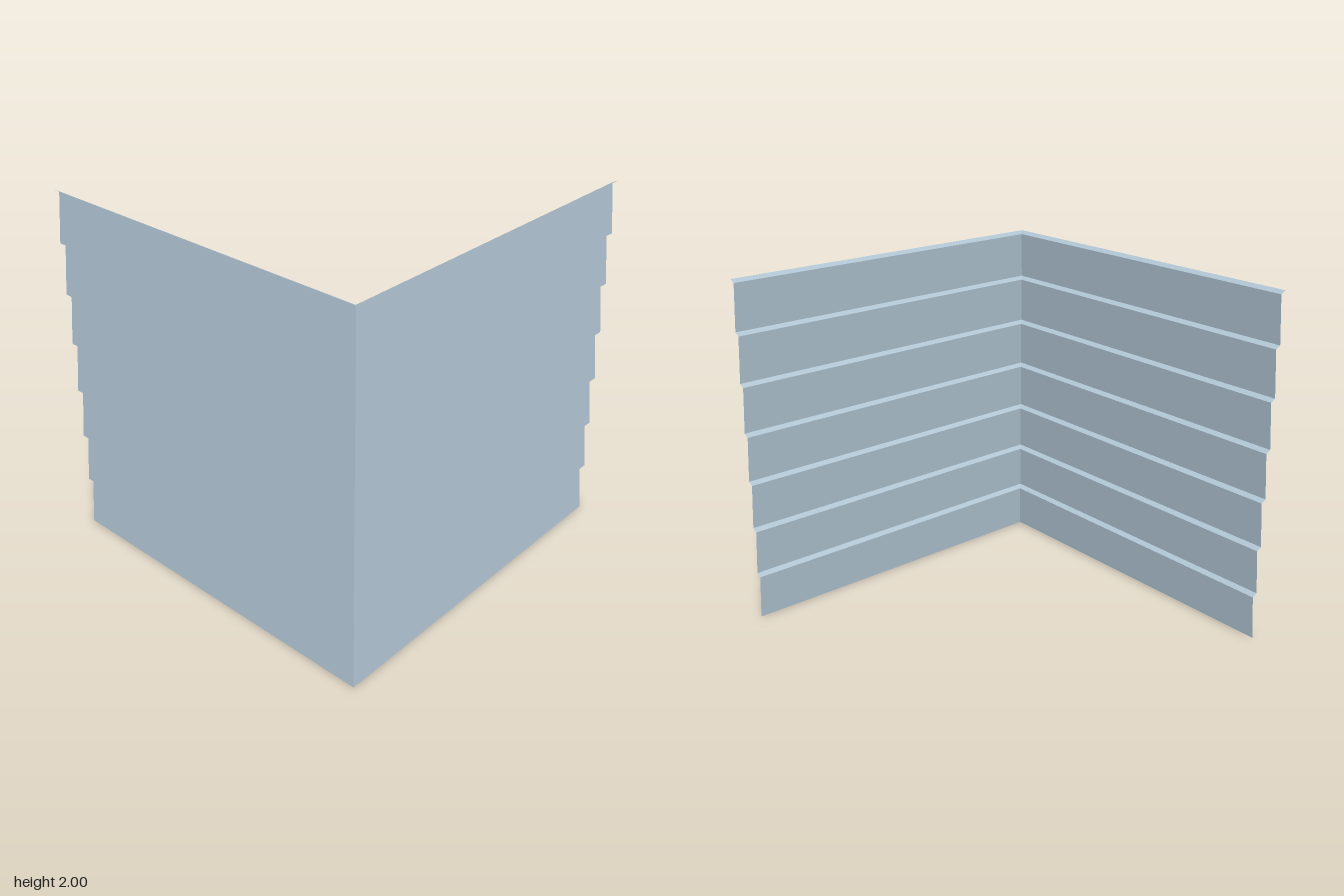
import * as THREE from 'three';

const ROWS = 7;
const PITCH = 2 / ROWS; // height of one board
const LIP = 0.016;      // rise of the sloping underside of each board
const INSET = 0.03;     // how far the top of a board leans in

// Sawtooth profile: [inset from the outer face, height]
function sidingProfile() {
  const points = [];
  for (let i = 0; i < ROWS; i++) {
    points.push([0, i * PITCH], [INSET, (i + 1) * PITCH - LIP]);
  }
  points.push([0, 2]);
  return points;
}

// Sweeps the profile between two edges, each a function of inset and height
function wallGeometry(startEdge, endEdge) {
  const profile = sidingProfile();
  const positions = [];
  for (let i = 0; i < profile.length - 1; i++) {
    const a = startEdge(...profile[i]);
    const b = endEdge(...profile[i]);
    const c = endEdge(...profile[i + 1]);
    const d = startEdge(...profile[i + 1]);
    positions.push(...a, ...b, ...c, ...a, ...c, ...d);
  }
  const geometry = new THREE.BufferGeometry();
  geometry.setAttribute('position', new THREE.Float32BufferAttribute(positions, 3));
  geometry.computeVertexNormals();
  return geometry;
}

export function createModel() {
  const group = new THREE.Group();
  group.name = 'cornerSiding';

  const siding = new THREE.MeshStandardMaterial({ color: 0xafc3d1, side: THREE.DoubleSide });
  siding.name = 'paleBlueSiding';

  // Both walls share a mitred corner edge
  const corner = (inset, y) => [-1 + inset, y, 1 - inset];
  const frontEnd = (inset, y) => [1, y, 1 - inset];
  const sideEnd = (inset, y) => [-1 + inset, y, -1];

  const frontWall = new THREE.Mesh(wallGeometry(corner, frontEnd), siding);
  frontWall.name = 'frontWall';
  const sideWall = new THREE.Mesh(wallGeometry(sideEnd, corner), siding);
  sideWall.name = 'sideWall';

  group.add(frontWall, sideWall);
  return group;
}
